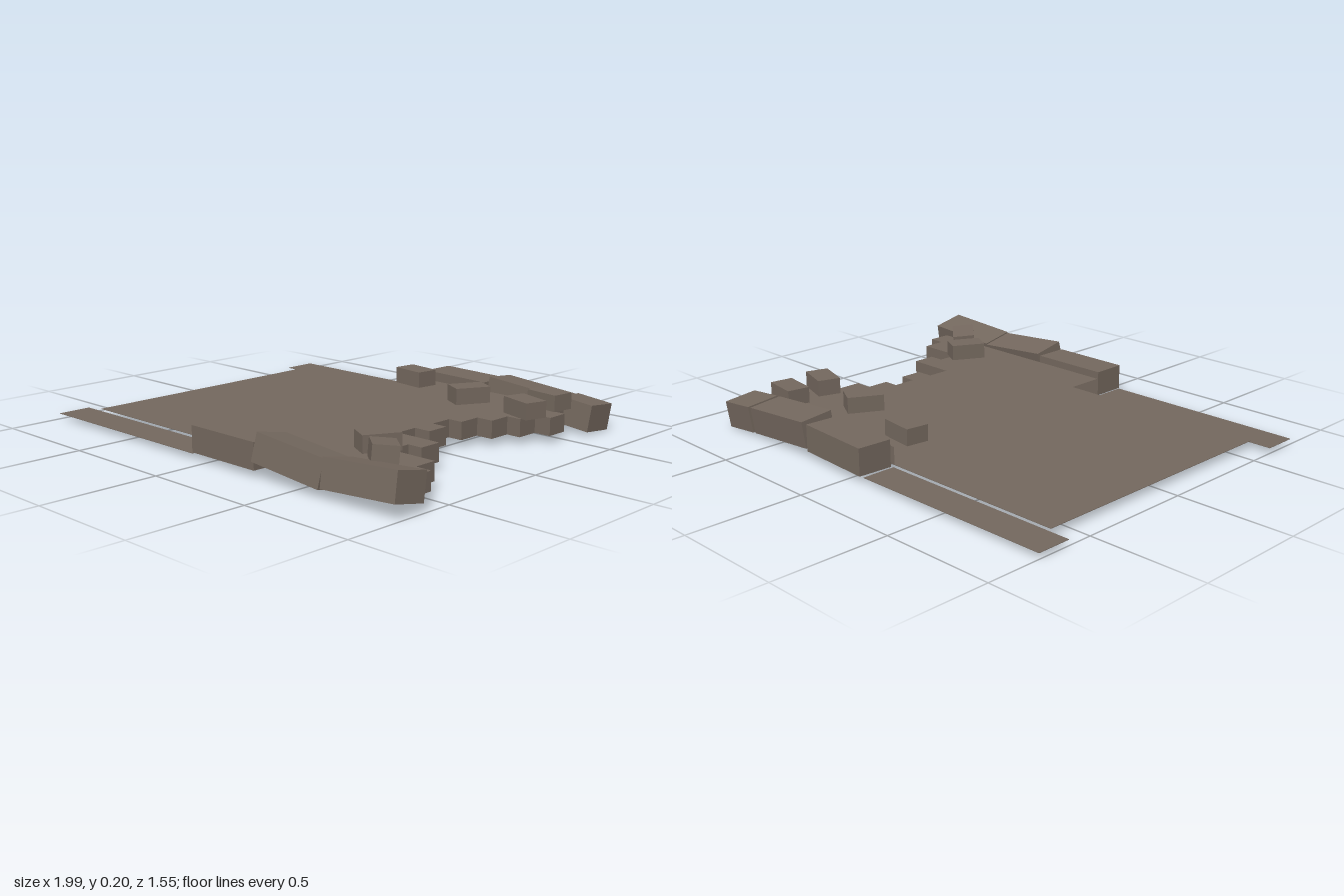
import * as THREE from 'three';

const stone = new THREE.MeshStandardMaterial({ color: 0x74685e });
stone.name = 'brown stone';

const FLOOR = 0.04, TOP = 0.115;

// Broken edge: x of each course's end, from the back (-z) to the front
const ENDS = [0.70, 0.775, 0.70, 0.635, 0.56, 0.495, 0.565, 0.49, 0.70, 0.635, 0.85, 0.92];
const HALF = 0.605;

// Outline as [x, z] points, running from the back left round to the front left
function outline(startX) {
  const step = (2 * HALF) / ENDS.length;
  const pts = [[startX, -HALF]];
  ENDS.forEach((x, i) => {
    pts.push([x, -HALF + i * step], [x, -HALF + (i + 1) * step]);
  });
  pts.push([startX, HALF]);
  return pts;
}

const toShape = (pts) => new THREE.Shape(pts.map(([x, z]) => new THREE.Vector2(x, -z)));

function add(group, name, geometry) {
  const mesh = new THREE.Mesh(geometry, stone);
  mesh.name = name;
  group.add(mesh);
  return mesh;
}

function block(group, name, size, pos, rot = [0, 0, 0]) {
  const mesh = add(group, name, new THREE.BoxGeometry(...size));
  mesh.position.set(...pos);
  mesh.rotation.set(...rot);
}

// Upright walls along an outline; the edge at the start x stays open
function wallGeometry(pts, y0, y1) {
  const pos = [];
  for (let i = 0; i < pts.length - 1; i++) {
    const [ax, az] = pts[i], [bx, bz] = pts[i + 1];
    pos.push(ax, y0, az, ax, y1, az, bx, y1, bz);
    pos.push(ax, y0, az, bx, y1, bz, bx, y0, bz);
  }
  const g = new THREE.BufferGeometry();
  g.setAttribute('position', new THREE.Float32BufferAttribute(pos, 3));
  g.computeVertexNormals();
  return g;
}

export function createModel() {
  const model = new THREE.Group();
  model.name = 'brokenBridge';

  // Thin floor sheet that also closes the underside of the raised slab
  const floor = new THREE.ExtrudeGeometry(toShape(outline(-0.91)), { depth: 0.002, bevelEnabled: false });
  floor.rotateX(-Math.PI / 2);
  floor.translate(0, FLOOR - 0.001, 0);
  add(model, 'floorSheet', floor);

  // Raised slab with the jagged broken end
  const slab = new THREE.Group();
  slab.name = 'brokenSlab';
  const top = new THREE.ShapeGeometry(toShape(outline(-0.08)));
  top.rotateX(-Math.PI / 2);
  top.translate(0, TOP, 0);
  add(slab, 'slabTop', top);
  add(slab, 'slabEdge', wallGeometry(outline(-0.08), FLOOR, TOP));
  model.add(slab);

  // Flat strips beside the floor
  for (const s of [-1, 1]) {
    block(model, s > 0 ? 'frontStrip' : 'backStrip', [0.92, 0.002, 0.15], [-0.54, 0.031, s * 0.686]);
  }

  // Kerb blocks, straight at first and tumbling toward the broken end
  block(model, 'frontKerb', [0.36, 0.11, 0.15], [0.1, 0.09, 0.686]);
  block(model, 'frontKerb', [0.358, 0.115, 0.15], [0.46, 0.098, 0.69], [-0.2, 0, -0.085]);
  block(model, 'frontKerb', [0.35, 0.115, 0.15], [0.815, 0.1, 0.69], [-0.2, 0, 0.065]);
  block(model, 'backKerb', [0.355, 0.115, 0.15], [0.1, 0.095, -0.69], [0, -0.055, 0]);
  block(model, 'backKerb', [0.36, 0.115, 0.15], [0.465, 0.1, -0.69], [-0.1, 0, -0.08]);
  block(model, 'backKerb', [0.17, 0.115, 0.15], [0.735, 0.08, -0.695], [-0.1, 0, -0.1]);

  // Loose rubble on the slab: [x, y, z, turn, tilt]
  const rubble = [
    [-0.04, 0.15, -0.505, -0.12, 0],
    [0.353, 0.15, -0.4, 1.08, 0],
    [0.66, 0.15, -0.555, -0.14, 0],
    [0.67, 0.15, -0.37, -0.3, 0],
    [0.595, 0.15, 0.427, 1.08, 0],
    [0.73, 0.157, 0.542, -0.74, -0.12],
  ];
  for (const [x, y, z, turn, tilt] of rubble) {
    block(model, 'rubble', [0.155, 0.07, 0.1], [x, y, z], [tilt, turn, 0]);
  }
  return model;
}
